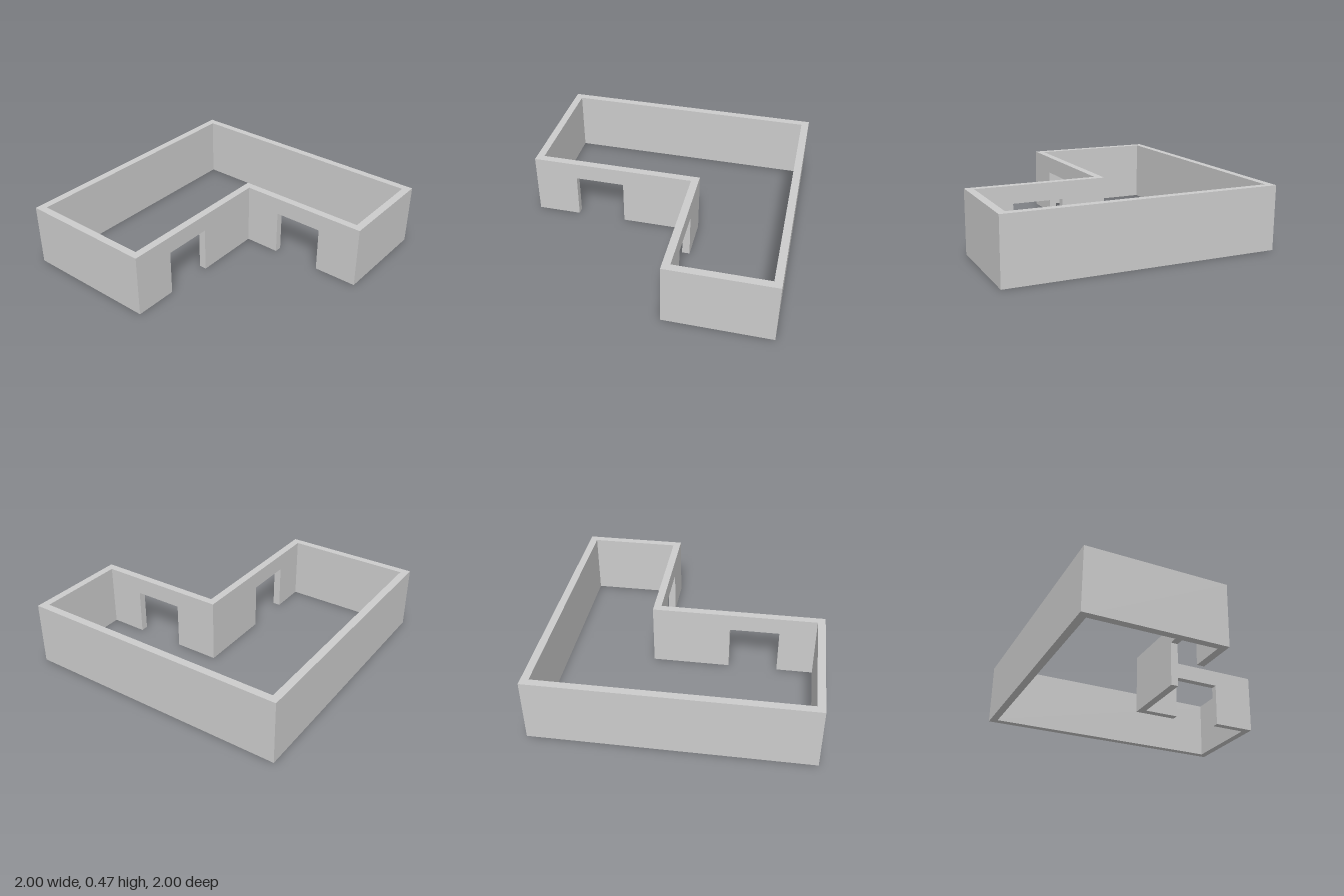
import * as THREE from 'three';

const HEIGHT = 0.468;
const THICK = 0.056;
const DOOR_HEIGHT = 0.34;

const material = new THREE.MeshStandardMaterial({ color: 0xcccccc, flatShading: true });

// Upright wall slab from (x, z), running along +x or +z, with an optional
// doorway given as [start, end] distances along the wall.
function wall(name, x, z, length, alongZ = false, door = null) {
  const points = [[0, 0]];
  if (door) {
    const [a, b] = door;
    points.push([a, 0], [a, DOOR_HEIGHT], [b, DOOR_HEIGHT], [b, 0]);
  }
  points.push([length, 0], [length, HEIGHT], [0, HEIGHT]);
  const shape = new THREE.Shape(points.map(([u, v]) => new THREE.Vector2(u, v)));
  const geometry = new THREE.ExtrudeGeometry(shape, { depth: THICK, bevelEnabled: false });
  if (alongZ) geometry.rotateY(-Math.PI / 2).translate(THICK, 0, 0);
  geometry.translate(x, 0, z);
  const mesh = new THREE.Mesh(geometry, material);
  mesh.name = name;
  return mesh;
}

export function createModel() {
  const group = new THREE.Group();
  group.name = 'lShapedWalls';

  const t = THICK;
  const h = t / 2; // the inner wing wall is centred on x = 0
  const stepZ = -0.222; // outer face of the recessed front wall

  group.add(
    // Long outer walls
    wall('backWall', -1, -1, 2),
    wall('rightWall', -1, -1 + t, 2 - t, true),
    // Short end walls
    wall('frontWall', -1 + t, 1 - t, 1 - t + h),
    wall('leftWall', 1 - t, -1 + t, stepZ + 1 - t, true),
    // Two walls of the inner corner, each with a doorway
    wall('recessedFrontWall', -h, stepZ - t, 1 + h, false, [0.3 + h, 0.67 + h]),
    wall('wingLeftWall', -h, stepZ, 1 - t - stepZ, true, [0.303 - stepZ, 0.673 - stepZ])
  );
  return group;
}
